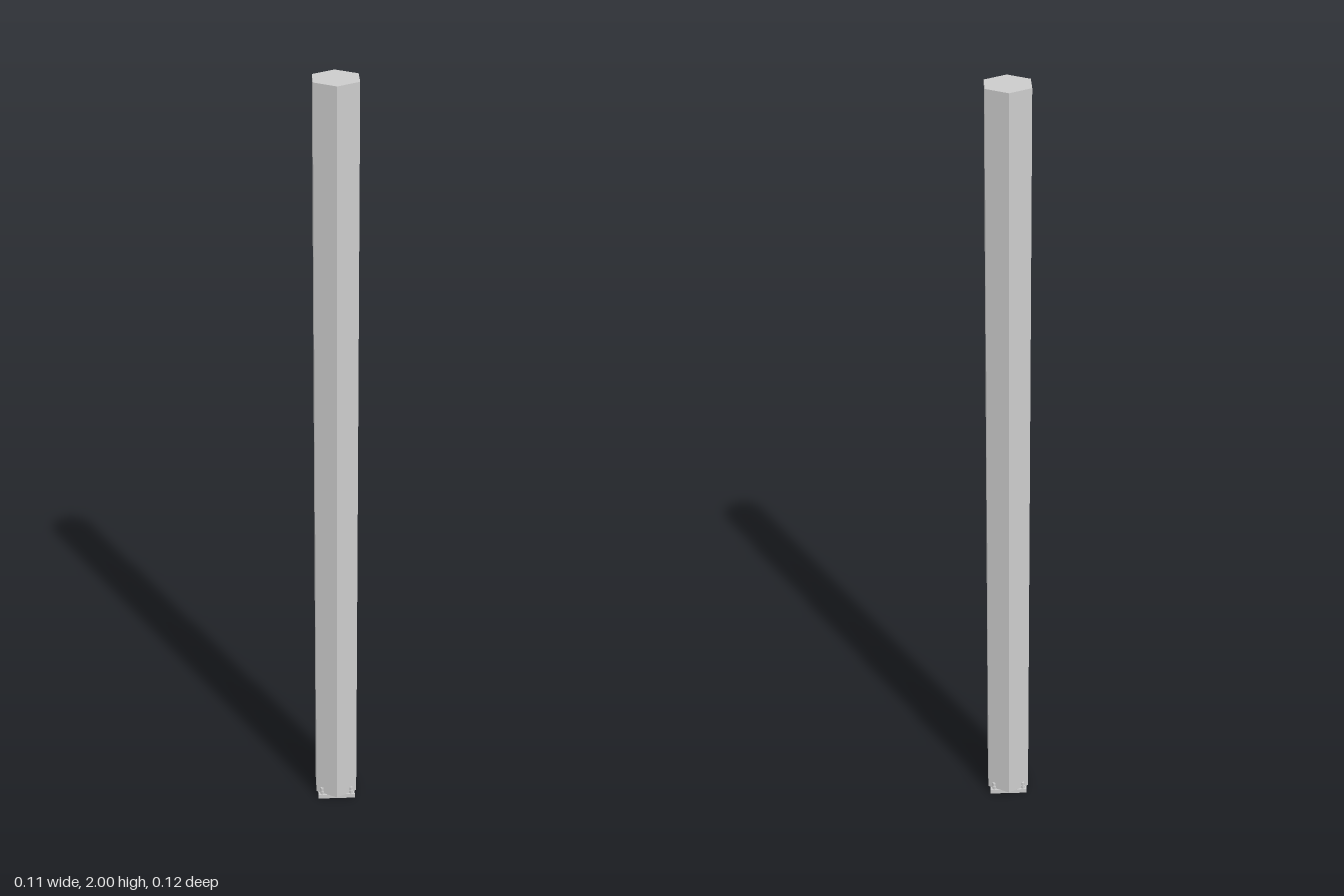
import * as THREE from 'three';

export function createModel() {
  const model = new THREE.Group();
  const material = new THREE.MeshStandardMaterial({ color: 0xcccccc, flatShading: true });

  const add = (name, geometry, x, y, z) => {
    const mesh = new THREE.Mesh(geometry, material);
    mesh.name = name;
    mesh.position.set(x, y, z);
    model.add(mesh);
  };

  // Hexagonal column with ridges facing front and back
  const plateTop = 0.012;
  const columnHeight = 2 - plateTop;
  add('column', new THREE.CylinderGeometry(0.062, 0.062, columnHeight, 6), 0, plateTop + columnHeight / 2, 0);

  // Square base plate
  add('basePlate', new THREE.BoxGeometry(0.098, plateTop, 0.098), 0, plateTop / 2, 0);

  // Anchor bolts with nuts at the plate corners
  for (const sx of [-1, 1]) {
    for (const sz of [-1, 1]) {
      add('nut', new THREE.CylinderGeometry(0.006, 0.006, 0.008, 6), sx * 0.039, plateTop + 0.004, sz * 0.041);
      add('bolt', new THREE.CylinderGeometry(0.004, 0.004, 0.018, 12), sx * 0.039, plateTop + 0.009, sz * 0.041);
    }
  }

  return model;
}
